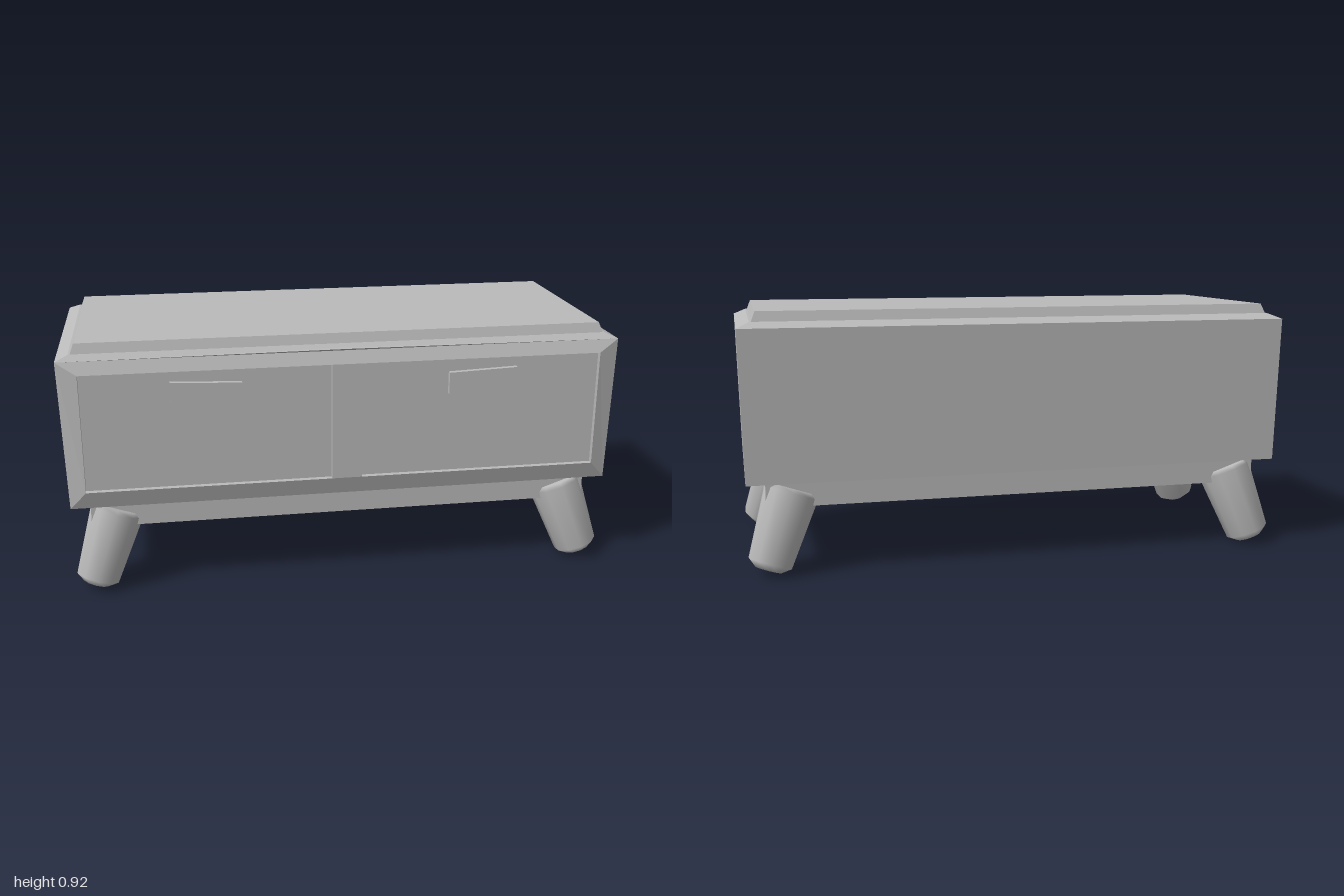
import * as THREE from 'three';
import { ConvexGeometry } from 'three/addons/geometries/ConvexGeometry.js';

const grey = new THREE.MeshStandardMaterial({ color: 0xbababa });
grey.name = 'plain grey';

export function createModel() {
  const group = new THREE.Group();
  const add = (name, geometry) => {
    const mesh = new THREE.Mesh(geometry, grey);
    mesh.name = name;
    group.add(mesh);
    return mesh;
  };

  // Tapered block through rectangular sections [y, half width, front z, back z]
  const block = (sections) => new ConvexGeometry(sections.flatMap(([y, w, f, b]) =>
    [[-w, f], [w, f], [w, b], [-w, b]].map(([x, z]) => new THREE.Vector3(x, y, z))));

  add('body', block([[0.327, 0.987, 0.395, -0.398], [0.865, 1, 0.395, -0.408], [0.885, 0.955, 0.375, -0.37]]));
  add('topSlab', block([[0.88, 0.95, 0.375, -0.37], [0.92, 0.935, 0.362, -0.357]]));
  add('plinth', block([[0.237, 0.92, 0.362, -0.36], [0.335, 0.92, 0.362, -0.36]]));

  // Front frame with two drawer openings, its face sloping back to the outer edge
  const outline = [[-0.987, 0.327], [0.987, 0.327], [1, 0.865], [0, 0.875], [-1, 0.865]];
  const toPoints = (list) => list.map(([x, y]) => new THREE.Vector2(x, y));
  const frame = new THREE.Shape(toPoints(outline));
  for (const s of [-1, 1]) {
    frame.holes.push(new THREE.Path(toPoints([
      [s * 0.055, 0.392], [s * 0.055, 0.82], [s * 0.928, 0.82], [s * 0.928, 0.392]])));
  }
  const frameGeometry = new THREE.ExtrudeGeometry(frame, { depth: 0.02, bevelEnabled: false });
  const pos = frameGeometry.attributes.position;
  for (let i = 0; i < pos.count; i++) {
    const x = Math.abs(pos.getX(i)), y = pos.getY(i);
    const outerCorner = x > 0.95 && (y < 0.35 || y > 0.85);
    pos.setZ(i, outerCorner ? 0.3955 : 0.3955 + pos.getZ(i));
  }
  frameGeometry.computeVertexNormals();
  add('frontFrame', frameGeometry);

  // Drawer pulls, slightly skewed
  for (const s of [-1, 1]) {
    const pull = new THREE.BoxGeometry(0.25, 0.08, 0.024);
    const p = pull.attributes.position;
    for (let i = 0; i < p.count; i++) p.setY(i, p.getY(i) + s * p.getX(i) * 0.04);
    pull.computeVertexNormals();
    add(s < 0 ? 'rightDrawerPull' : 'leftDrawerPull', pull).position.set(s * 0.495, 0.735, 0.401);
  }

  // Splayed, tapered legs with a chamfered foot
  const profile = toPoints([[0, 0], [0.048, 0], [0.08, 0.024], [0.1, 0.28], [0.088, 0.295], [0, 0.295]]);
  const up = new THREE.Vector3(0, 1, 0);
  for (const sx of [-1, 1]) {
    for (const sz of [-1, 1]) {
      const leg = add(`${sz > 0 ? 'front' : 'back'}${sx > 0 ? 'Left' : 'Right'}Leg`,
        new THREE.LatheGeometry(profile, 10));
      leg.position.set(sx * 0.92, 0.016, sz * 0.362);
      leg.quaternion.setFromUnitVectors(up, new THREE.Vector3(-sx * 0.1, 0.29, -sz * 0.06).normalize());
    }
  }
  return group;
}
